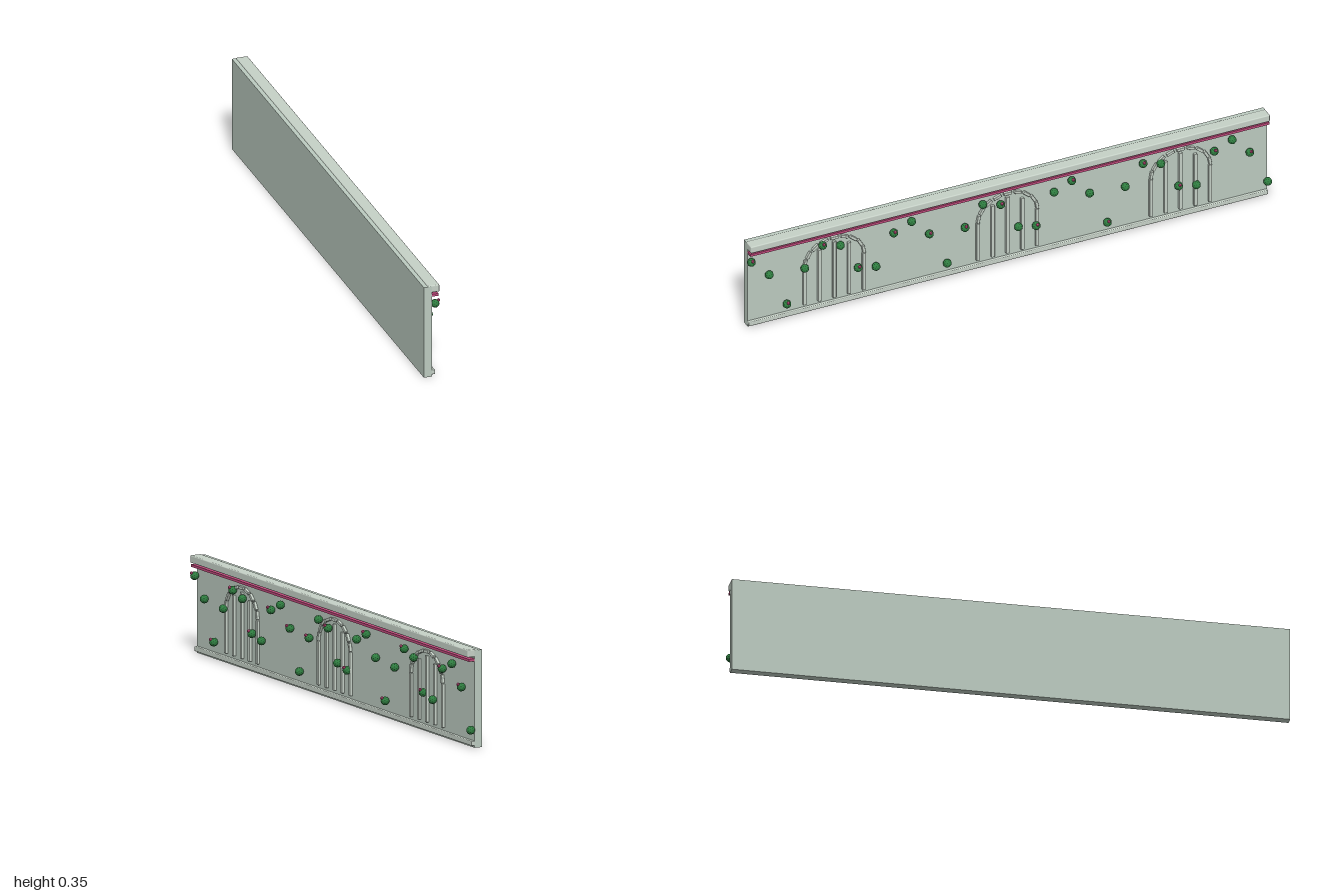
import * as THREE from 'three';
import { RoundedBoxGeometry } from 'three/addons/geometries/RoundedBoxGeometry.js';

const mat = (name, color, flatShading = false) => {
  const m = new THREE.MeshStandardMaterial({ color, flatShading });
  m.name = name;
  return m;
};

export function createModel() {
  const stone = mat('wall stone', 0xbccbc0);
  const trim = mat('trim stone', 0xc6d1c7);
  const pink = mat('blossom pink', 0xc04a7c, true);
  const green = mat('leaf green', 0x2f7d40, true);

  const model = new THREE.Group();
  model.name = 'gardenWall';
  const add = (parent, name, geometry, material, x, y, z) => {
    const mesh = new THREE.Mesh(geometry, material);
    mesh.name = name;
    mesh.position.set(x, y, z);
    parent.add(mesh);
    return mesh;
  };

  // Long wall with its mouldings
  const L = 1.981, zc = 0.0025;
  add(model, 'wall', new THREE.BoxGeometry(0.03, 0.345, L), stone, -0.017, 0.1725, zc);
  add(model, 'cap', new RoundedBoxGeometry(0.043, 0.027, L, 2, 0.004), trim, 0.0045, 0.3345, zc);
  add(model, 'pinkBand', new THREE.BoxGeometry(0.024, 0.009, L), pink, 0.0095, 0.3105, zc);
  add(model, 'baseMoulding', new RoundedBoxGeometry(0.016, 0.017, L, 2, 0.003), trim, 0.002, 0.0155, zc);

  // Three blind arches: five upright bars under a ring of separate blocks
  const barTops = [0.19, 0.25, 0.27, 0.25, 0.19];
  const bottom = 0.035, spring = 0.19;
  const block = new RoundedBoxGeometry(0.011, 0.011, 0.03, 2, 0.002);
  for (const z of [0.665, 0.004, -0.656]) {
    const arch = new THREE.Group();
    arch.name = 'arch';
    arch.position.z = z;
    model.add(arch);
    barTops.forEach((top, i) => {
      const h = top - bottom;
      add(arch, 'archBar', new RoundedBoxGeometry(0.011, h, 0.013, 2, 0.002), trim,
        0.0025, bottom + h / 2, (i - 2) * 0.0565);
    });
    for (let i = 0; i < 9; i++) {
      const a = Math.PI * (i + 0.5) / 9;
      const b = add(arch, 'archBlock', block, trim, 0.0035,
        spring + 0.095 * Math.sin(a), 0.113 * Math.cos(a));
      b.rotation.x = Math.PI / 2 - a;
    }
  }

  // Climbing shrubs at regular steps, every second one in flower
  const heights = [0.275, 0.204, 0.063, 0.193, 0.27, 0.251, 0.139, 0.125, 0.246];
  const leaf = new THREE.IcosahedronGeometry(0.0155, 1);
  const petal = new THREE.IcosahedronGeometry(0.006, 1);
  for (let i = 0; i < 30; i++) {
    const y = heights[i % 9], z = 0.985 - i * 1.97 / 29;
    add(model, 'shrub', leaf, green, 0.012, y, z);
    if (i % 2 === 0) add(model, 'blossom', petal, pink, 0.0245, y + 0.011, z);
  }
  return model;
}
